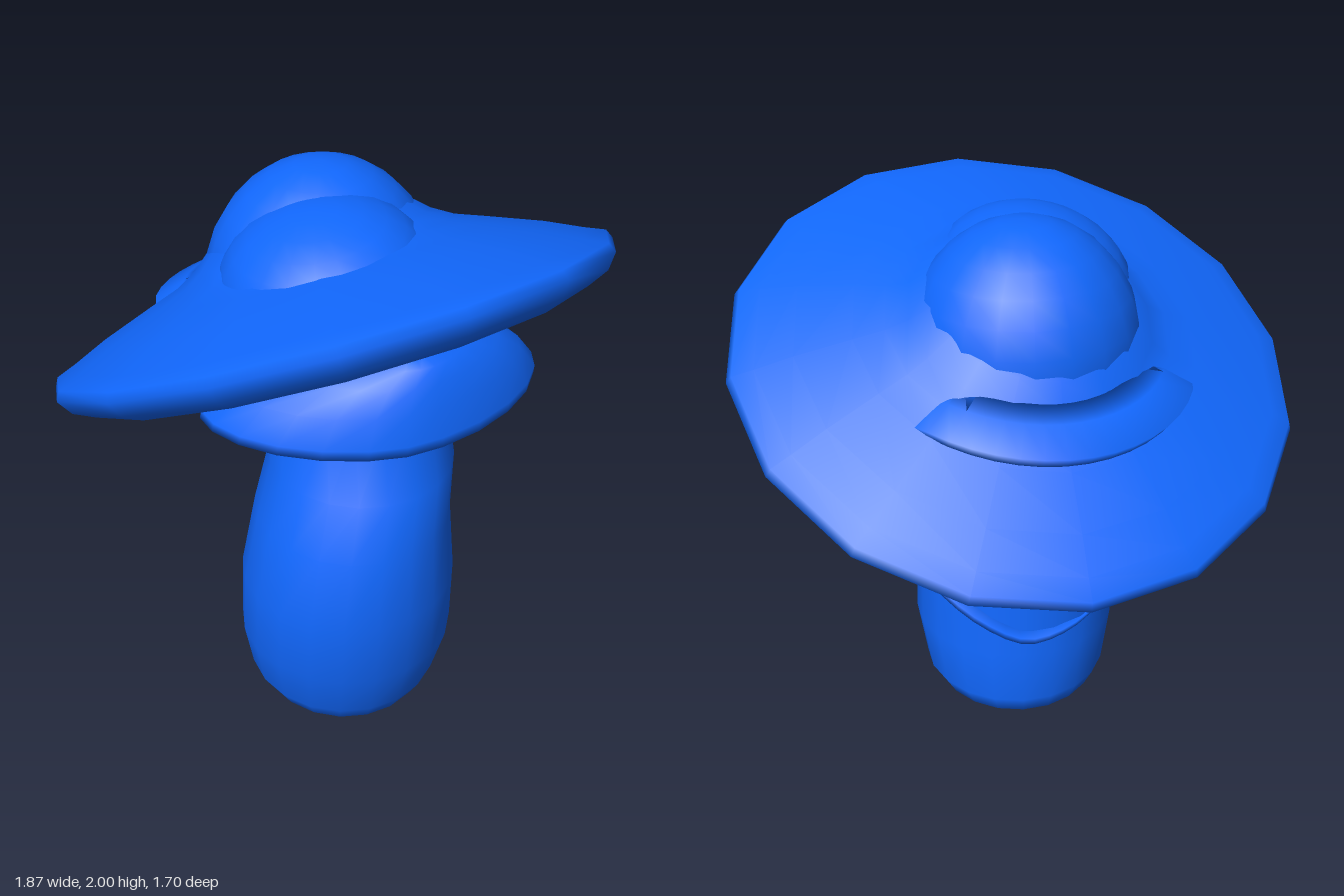
import * as THREE from 'three';

const material = new THREE.MeshStandardMaterial({ color: 0x1168ff, side: THREE.DoubleSide });

function addMesh(parent, name, geometry) {
  const mesh = new THREE.Mesh(geometry, material);
  mesh.name = name;
  parent.add(mesh);
  return mesh;
}

// Skin a list of closed sections (equal point counts), closing both ends.
function skin(sections) {
  const n = sections[0].length;
  const positions = [];
  const index = [];
  sections.forEach(s => s.forEach(p => positions.push(p.x, p.y, p.z)));
  for (let i = 0; i < sections.length - 1; i++) {
    for (let j = 0; j < n; j++) {
      const a = i * n + j, b = i * n + (j + 1) % n;
      index.push(a, b, b + n, a, b + n, a + n);
    }
  }
  const last = (sections.length - 1) * n;
  for (let j = 1; j < n - 1; j++) {
    index.push(0, j + 1, j, last, last + j, last + j + 1);
  }
  const g = new THREE.BufferGeometry();
  g.setAttribute('position', new THREE.Float32BufferAttribute(positions, 3));
  g.setIndex(index);
  g.computeVertexNormals();
  return g;
}

// Horizontal ovals, each given as [y, xMin, xMax, zMin, zMax]; power > 1 narrows the diagonals.
function loft(rings, sides, tilt = 0, power = 1) {
  const bend = v => Math.sign(v) * Math.pow(Math.abs(v), power);
  return skin(rings.map(([y, x0, x1, z0, z1]) =>
    Array.from({ length: sides }, (_, j) => {
      const a = (j / sides) * Math.PI * 2;
      const x = (x0 + x1) / 2 + bend(Math.sin(a)) * (x1 - x0) / 2;
      return new THREE.Vector3(x, y + tilt * x, (z0 + z1) / 2 + bend(Math.cos(a)) * (z1 - z0) / 2);
    })));
}

// Thin tapered fin following a path, standing out from the stem's axis.
function fin(path, width, thickness) {
  const curve = new THREE.CatmullRomCurve3(path.map(p => new THREE.Vector3(...p)));
  const sections = [];
  for (let i = 0; i <= 14; i++) {
    const p = curve.getPoint(i / 14);
    const k = 0.3 + 0.7 * Math.sin(Math.PI * i / 14);
    const out = new THREE.Vector3(p.x, 0, p.z - 0.2).normalize();
    const at = (o, h) => p.clone().addScaledVector(out, o * k).add(new THREE.Vector3(0, h * k, 0));
    sections.push([at(-width, thickness), at(-width, -thickness), at(width, -thickness * 0.6), at(width * 0.8, thickness * 0.4)]);
  }
  return skin(sections);
}

function ball(parent, name, center, radii, roll = 0) {
  const mesh = addMesh(parent, name, new THREE.SphereGeometry(1, 20, 14));
  mesh.position.set(...center);
  mesh.scale.set(...radii);
  mesh.rotation.z = roll;
}

export function createModel() {
  const model = new THREE.Group();
  model.name = 'mushroom';

  // Bent stem with a rounded, slightly hollow foot
  addMesh(model, 'stem', loft([
    [0.12, -0.17, 0.14, 0.03, 0.35],
    [0.11, -0.22, 0.19, -0.03, 0.41],
    [0.075, -0.28, 0.25, -0.10, 0.48],
    [0.10, -0.32, 0.29, -0.14, 0.51],
    [0.16, -0.355, 0.33, -0.16, 0.54],
    [0.36, -0.39, 0.365, -0.15, 0.60],
    [0.62, -0.385, 0.355, -0.12, 0.625],
    [0.88, -0.33, 0.335, -0.11, 0.595],
    [1.05, -0.27, 0.36, -0.13, 0.52],
    [1.28, -0.24, 0.35, -0.19, 0.41],
    [1.55, -0.22, 0.33, -0.22, 0.38],
  ], 20));

  // Small pointed root and spokes under the foot
  addMesh(model, 'root', loft([
    [0.005, -0.02, 0.02, 0.28, 0.31],
    [0.04, -0.06, 0.06, 0.18, 0.31],
    [0.08, -0.07, 0.06, 0.05, 0.30],
    [0.13, -0.04, 0.04, 0.08, 0.28],
  ], 8));
  for (let i = 0; i < 3; i++) {
    const spoke = addMesh(model, 'footSpoke', new THREE.BoxGeometry(0.34, 0.03, 0.03));
    spoke.position.set(-0.015, 0.105, 0.19);
    spoke.rotation.y = i * Math.PI / 3 + 0.3;
  }

  // Bulging lower cap under the front of the brim
  addMesh(model, 'lowerCap', loft([
    [1.335, -0.18, 0.22, 0.12, 0.42],
    [1.355, -0.36, 0.38, 0.04, 0.57],
    [1.405, -0.52, 0.56, -0.03, 0.74],
    [1.435, -0.515, 0.56, -0.01, 0.735],
    [1.53, -0.43, 0.49, 0.08, 0.715],
    [1.60, -0.29, 0.40, 0.18, 0.685],
    [1.645, -0.13, 0.29, 0.28, 0.66],
    [1.665, -0.03, 0.18, 0.38, 0.62],
  ], 24, 0.03, 1.15));

  // Tilted wide hat rising to a cone under the domes
  const hat = new THREE.Group();
  hat.name = 'hat';
  hat.position.set(0, 1.475, 0);
  const axis = new THREE.Vector3(-0.167, 1, -0.48).normalize();
  hat.quaternion.setFromUnitVectors(new THREE.Vector3(0, 1, 0), axis);
  model.add(hat);

  const profile = [
    [0.02, -0.17], [0.25, -0.16], [0.33, -0.125], [0.45, -0.095], [0.65, -0.085], [0.85, -0.08], [0.92, -0.045], [0.955, 0.005],
    [0.94, 0.035], [0.87, 0.062], [0.75, 0.115], [0.57, 0.18], [0.47, 0.215], [0.4, 0.255], [0.33, 0.315], [0.2, 0.37], [0.001, 0.39],
  ].map(p => new THREE.Vector2(...p));
  addMesh(hat, 'brim', new THREE.LatheGeometry(profile, 16, THREE.MathUtils.degToRad(11)));

  // Overhanging crescent on the back of the hat, sinking into it at both ends
  const sections = [];
  for (let i = 0; i <= 16; i++) {
    const a = THREE.MathUtils.degToRad(137 + 118 * i / 16);
    const k = Math.pow(Math.sin(Math.PI * i / 16), 0.6);
    const at = (r, h) => new THREE.Vector3(Math.sin(a) * r, h, Math.cos(a) * r);
    sections.push([
      at(0.38, 0.225 + 0.05 * k), at(0.46, 0.2 + 0.08 * k),
      at(0.565 + 0.015 * k, 0.165 + 0.1 * k), at(0.565, 0.15 + 0.06 * k), at(0.5, 0.15),
    ]);
  }
  addMesh(hat, 'crescentRidge', skin(sections));

  // Twin domes on top of the hat
  ball(model, 'crown', [-0.02, 1.58, -0.06], [0.385, 0.42, 0.37]);
  ball(model, 'frontDome', [-0.065, 1.695, 0.17], [0.345, 0.26, 0.375], 0.17);

  // Fins and swellings on the sides and back of the stem
  addMesh(model, 'neckFin', fin([[0.31, 1.14, 0.25], [0.36, 1.185, 0.1], [0.32, 1.21, -0.04], [0.18, 1.215, -0.18], [0.06, 1.21, -0.21]], 0.035, 0.025));
  addMesh(model, 'backFin', fin([[0.36, 0.65, 0.1], [0.26, 0.59, -0.03], [0.12, 0.51, -0.12], [-0.02, 0.45, -0.15], [-0.16, 0.455, -0.11], [-0.31, 0.47, 0.01]], 0.035, 0.018));
  ball(model, 'backSwelling', [0.04, 0.95, -0.055], [0.1, 0.2, 0.075]);
  ball(model, 'neckSwelling', [-0.235, 1.15, -0.03], [0.07, 0.11, 0.09]);

  return model;
}
